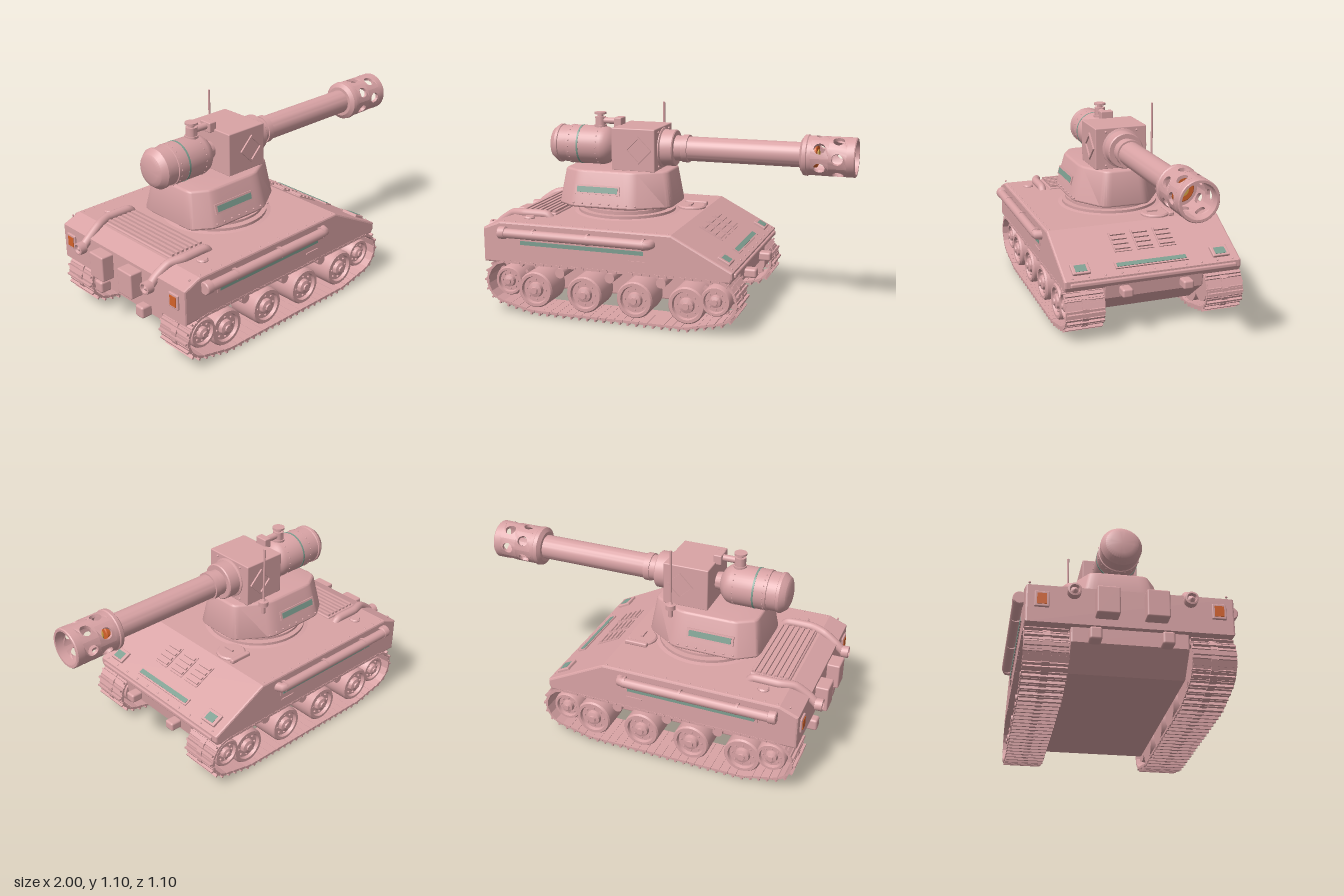
import * as THREE from 'three';
import { mergeGeometries, toCreasedNormals } from 'three/addons/utils/BufferGeometryUtils.js';
import { RoundedBoxGeometry } from 'three/addons/geometries/RoundedBoxGeometry.js';

const mat = (name, color) => Object.assign(new THREE.MeshStandardMaterial({ color }), { name });
const V2 = (p) => new THREE.Vector2(p[0], p[1]);
const V3 = (p) => new THREE.Vector3(...p);

export function createModel() {
  const model = new THREE.Group();
  model.name = 'tank';
  const pink = mat('dustyPink', 0xd9a3a5), green = mat('glassGreen', 0x7d9e90);
  const orange = mat('glowOrange', 0xd4622a), amber = mat('glowAmber', 0xd2a346);

  const add = (name, geo, pos = [0, 0, 0], m = pink, parent = model) => {
    const mesh = new THREE.Mesh(geo, m);
    mesh.name = name;
    mesh.position.set(...pos);
    parent.add(mesh);
    return mesh;
  };
  const box = (w, h, d) => new THREE.BoxGeometry(w, h, d);
  const rbox = (w, h, d, r = 0.008) => new RoundedBoxGeometry(w, h, d, 2, r);
  const cyl = (r, h, n = 24) => new THREE.CylinderGeometry(r, r, h, n);
  // Turned part from [position along axis, radius] pairs, about y, x or z
  const turned = (pts, axis = 'y', n = 40) => {
    const g = new THREE.LatheGeometry(pts.map(([a, r]) => new THREE.Vector2(r, a)), n);
    if (axis === 'x') g.rotateZ(-Math.PI / 2);
    if (axis === 'z') g.rotateX(Math.PI / 2);
    return toCreasedNormals(g, 0.55);
  };
  const tube = (pts, r) => new THREE.TubeGeometry(new THREE.CatmullRomCurve3(pts.map(V3), false, 'catmullrom', 0.3), 36, r, 14);
  // Side profile extruded across z with a small bevel
  const slab = (pts, half, b) => new THREE.ExtrudeGeometry(new THREE.Shape(pts.map(V2)), {
    depth: 2 * (half - b), bevelThickness: b, bevelSize: b, bevelOffset: -b, bevelSegments: 2,
  }).translate(0, 0, b - half);
  const rivets = (name, pts, r = 0.006, parent = model) =>
    add(name, mergeGeometries(pts.map((p) => new THREE.SphereGeometry(r, 8, 6).translate(...p))), [0, 0, 0], pink, parent);
  const row = (n, f) => Array.from({ length: n }, (_, i) => f(i, i / (n - 1)));

  // Hull
  add('upperHull', slab([[-0.93, 0.285], [0.455, 0.285], [0.468, 0.31], [0.468, 0.345], [0.14, 0.515], [-0.83, 0.515], [-0.93, 0.475]], 0.496, 0.01));
  add('lowerHull', slab([[-0.9, 0.3], [-0.9, 0.21], [-0.79, 0.097], [0.29, 0.097], [0.45, 0.22], [0.46, 0.305]], 0.28, 0.008));
  add('frontBar', rbox(0.02, 0.025, 0.93), [0.47, 0.322, 0]);

  // Running gear, one side built then turned half round for the other
  const cx = -0.2125, R = 0.115;
  const arc = (x, y, a, b, n) => row(n, (i, t) => {
    const q = THREE.MathUtils.degToRad(a + (b - a) * t);
    return [x + R * Math.cos(q), y + R * Math.sin(q)];
  });
  const half = [...arc(0.585, 0.178, 90, -75, 14), ...arc(0.42, 0.14, -77, -90, 4)];
  const loop = [...half, ...half.map(([x, y]) => [-x, y]).reverse()];
  const path = new THREE.Path().setFromPoints([...loop, loop[0]].map(V2));
  const N = 66, links = path.getSpacedPoints(N).slice(0, N);
  const pads = links.map((p, i) => {
    const a = links[(i + N - 1) % N], b = links[(i + 1) % N];
    const shoe = mergeGeometries([
      box(0.036, 0.014, 0.212), box(0.01, 0.016, 0.205).translate(0, 0.014, 0),
      box(0.05, 0.018, 0.035).translate(0, 0.003, 0),
      box(0.014, 0.01, 0.214).translate(0.02, -0.002, 0),
    ]);
    // the loop runs clockwise, so local +y faces outward
    return shoe.rotateZ(Math.atan2(b.y - a.y, b.x - a.x)).translate(p.x, p.y, 0.392);
  });
  const wheelGeo = (r) => mergeGeometries([
    turned([[0.3, 0], [0.3, r], [0.465, r], [0.475, r * 0.93], [0.475, r * 0.77], [0.457, r * 0.72], [0.457, r * 0.42], [0.477, r * 0.38], [0.482, r * 0.2], [0.49, r * 0.18], [0.49, 0]], 'z', 32),
    ...row(8, (i) => new THREE.CylinderGeometry(0.006, 0.006, 0.014, 8).toNonIndexed().rotateX(Math.PI / 2)
      .translate(r * 0.57 * Math.cos(i * Math.PI / 4), r * 0.57 * Math.sin(i * Math.PI / 4), 0.459)),
  ]);
  const road = wheelGeo(0.1), end = wheelGeo(0.08), trackGeo = mergeGeometries(pads);
  for (const s of [1, -1]) {
    const gear = new THREE.Group();
    gear.name = s > 0 ? 'leftRunningGear' : 'rightRunningGear';
    gear.position.x = cx;
    gear.rotation.y = s > 0 ? 0 : Math.PI;
    model.add(gear);
    add('track', trackGeo, [0, 0, 0], pink, gear);
    for (let i = 0; i < 4; i++) add('roadWheel', road, [-0.43 + i * 0.2865, 0.14, 0], pink, gear);
    for (const e of [-1, 1]) {
      add('endWheel', end, [e * 0.585, 0.177, 0], pink, gear);
      const teeth = row(12, (i) => box(0.016, 0.02, 0.03).translate(0, 0.086, 0).rotateZ(i * Math.PI / 6));
      add('sprocketTeeth', mergeGeometries(teeth), [e * 0.585, 0.177, 0.392], pink, gear);
    }
    for (let i = -1; i <= 1; i++) add('returnRoller', cyl(0.027, 0.18).rotateX(Math.PI / 2), [i * 0.287, 0.243, 0.37], pink, gear);
  }

  // Fittings repeated on both sides
  for (const s of [1, -1]) {
    add('sidePipe', tube([[-0.8, 0.46, s * 0.521], [-0.3, 0.46, s * 0.521], [0.0, 0.46, s * 0.521], [0.028, 0.46, s * 0.51], [0.035, 0.46, s * 0.47]], 0.026));
    add('sidePipeCap', turned([[-0.825, 0], [-0.825, 0.03], [-0.82, 0.034], [-0.785, 0.034], [-0.78, 0.026]], 'x', 20), [0, 0.46, s * 0.515]);
    for (const x of [-0.62, -0.31, 0]) add('pipeClamp', turned([[-0.006, 0.024], [-0.006, 0.031], [0.006, 0.031], [0.006, 0.024]], 'x', 20), [x, 0.46, s * 0.515]);
    add('sideSlitFrame', box(0.73, 0.038, 0.008), [-0.357, 0.407, s * 0.496]);
    add('sideSlit', box(0.7, 0.022, 0.008), [-0.357, 0.407, s * 0.498], green);
    add('sideStep', box(0.09, 0.008, 0.008), [-0.045, 0.358, s * 0.497]);
    rivets('hullRivets', row(16, (i, t) => [-0.88 + t * 1.0, 0.513, s * 0.475]));
    add('exhaustPipe', tube([[-0.61, 0.5, s * 0.31], [-0.64, 0.525, s * 0.31], [-0.77, 0.525, s * 0.31], [-0.85, 0.515, s * 0.285], [-0.92, 0.47, s * 0.275], [-0.965, 0.43, s * 0.275]], 0.024));
    add('exhaustTip', turned([[-1, 0], [-0.985, 0.018], [-1, 0.024], [-0.998, 0.033], [-0.96, 0.033], [-0.955, 0.02]], 'x', 20), [0, 0.43, s * 0.275]);
    add('rearStowageBox', rbox(0.075, 0.14, 0.11), [-0.962, 0.39, s * 0.117]);
    add('rearLampFrame', rbox(0.02, 0.08, 0.07, 0.005), [-0.93, 0.4, s * 0.42]);
    add('rearLamp', box(0.008, 0.055, 0.045), [-0.939, 0.4, s * 0.42], orange);
    add('frontHook', rbox(0.07, 0.05, 0.06, 0.012), [0.485, 0.26, s * 0.17]);
    add('rearHook', rbox(0.07, 0.065, 0.06, 0.012), [-0.925, 0.235, s * 0.17]);
    add('fillerCap', turned([[0.505, 0.03], [0.52, 0.03], [0.527, 0.024], [0.527, 0]]), [-0.71, 0, s * 0.375]);
  }

  // Engine deck grille
  add('grilleBase', rbox(0.215, 0.02, 0.54), [-0.707, 0.515, 0]);
  for (let i = 0; i < 7; i++) add('grilleSlat', box(0.016, 0.014, 0.52), [-0.797 + i * 0.03, 0.53, 0]);

  // Driver hatch
  add('driverHatch', turned([[0.505, 0.08], [0.523, 0.08], [0.53, 0.072], [0.53, 0]]), [0.055, 0, -0.155]);
  add('hatchHinge', rbox(0.13, 0.025, 0.03), [0.06, 0.525, -0.23]);
  add('hatchHandle', box(0.015, 0.012, 0.06), [0.055, 0.533, -0.14]);

  // Glacis plate details, laid out along the slope
  const glacis = new THREE.Group();
  glacis.name = 'glacisDetails';
  glacis.position.set(0.14, 0.515, 0);
  glacis.rotation.z = -Math.atan2(0.17, 0.328);
  model.add(glacis);
  for (const z of [-0.127, 0, 0.127]) {
    add('ventFrame', box(0.146, 0.008, 0.097), [0.135, 0.001, z], pink, glacis);
    for (let i = 0; i < 4; i++) add('ventSlat', box(0.018, 0.014, 0.085), [0.084 + i * 0.034, 0.007, z], pink, glacis);
  }
  add('driverSlitFrame', box(0.044, 0.01, 0.41), [0.302, 0.002, 0], pink, glacis);
  add('driverSlit', box(0.026, 0.009, 0.39), [0.302, 0.005, 0], green, glacis);
  for (const s of [1, -1]) {
    add('headlightFrame', rbox(0.075, 0.025, 0.098, 0.005), [0.295, 0.002, s * 0.393], pink, glacis);
    add('headlight', box(0.046, 0.008, 0.062), [0.298, 0.012, s * 0.393], green, glacis);
  }
  rivets('glacisRivets', row(11, (i, t) => [0.352, 0, -0.45 + 0.9 * t]), 0.006, glacis);

  // Turret ring and tapered turret
  add('turretRing', turned([[0.505, 0.297], [0.515, 0.297], [0.52, 0.275], [0.535, 0.275], [0.535, 0.24], [0.545, 0.24], [0.545, 0.255], [0.558, 0.255], [0.558, 0.24], [0.575, 0.24]], 'y', 56), [-0.28, 0, 0]);
  const corners = [[0.322, 0.13], [0.13, 0.258], [-0.21, 0.258], [-0.322, 0.18]];
  const plan = [...corners, ...corners.map(([x, z]) => [x, -z]).reverse()].map(V2);
  const outline = new THREE.Shape();
  plan.forEach((p, i) => {
    const a = p.clone().lerp(plan[(i + 7) % 8], 0.16), b = p.clone().lerp(plan[(i + 1) % 8], 0.16);
    i ? outline.lineTo(a.x, a.y) : outline.moveTo(a.x, a.y);
    outline.quadraticCurveTo(p.x, p.y, b.x, b.y);
  });
  outline.closePath();
  const turret = new THREE.ExtrudeGeometry(outline, { depth: 0.176, bevelThickness: 0.012, bevelSize: 0.012, bevelOffset: -0.012, bevelSegments: 3, curveSegments: 5 })
    .rotateX(-Math.PI / 2).translate(0, 0.012, 0);
  const tp = turret.attributes.position;
  for (let i = 0; i < tp.count; i++) {
    const t = Math.max(0, tp.getY(i) - 0.015) / 0.185;
    tp.setX(i, tp.getX(i) * (1 - 0.09 * t));
    tp.setZ(i, tp.getZ(i) * (1 - 0.2 * t));
  }
  turret.computeVertexNormals();
  add('turret', toCreasedNormals(turret, 0.5), [-0.298, 0.566, 0]);
  for (const s of [1, -1]) {
    const slit = new THREE.Group();
    slit.name = 'turretSlit';
    slit.position.set(-0.365, 0.665, s * 0.235);
    slit.rotation.x = -s * 0.272;
    model.add(slit);
    add('slitFrame', box(0.26, 0.052, 0.02), [0, 0, -s * 0.004], pink, slit);
    add('slitGlass', box(0.235, 0.032, 0.009), [0, 0, s * 0.004], green, slit);
    rivets('turretRivets', row(8, (i, t) => [-0.5 + 0.36 * t, 0.592, s * 0.255]));
  }

  // Gun housing with diamond badges
  add('gunHousing', rbox(0.25, 0.235, 0.3, 0.006), [-0.19, 0.88, 0]);
  for (const s of [1, -1]) {
    const frame = new THREE.Shape([[0.077, 0], [0, 0.077], [-0.077, 0], [0, -0.077]].map(V2));
    frame.holes.push(new THREE.Path([[0.062, 0], [0, 0.062], [-0.062, 0], [0, -0.062]].map(V2)));
    add('diamondFrame', new THREE.ExtrudeGeometry(frame, { depth: 0.012, bevelEnabled: false }), [-0.16, 0.88, s * 0.153 - 0.006]);
    rivets('housingRivets', [-1, 1].map((k) => [-0.064, 0.88 + k * 0.095, s * 0.09]), 0.007);
  }

  // Barrel, flange and pierced muzzle sleeve
  add('barrel', turned([[-0.07, 0.11], [-0.06, 0.11], [-0.055, 0.1], [0.01, 0.1], [0.015, 0.095], [0.015, 0.07], [0.055, 0.07], [0.055, 0.076], [0.088, 0.076], [0.088, 0.067], [0.71, 0.067], [0.71, 0.085], [0.725, 0.107], [0.745, 0.11], [0.75, 0.105], [0.77, 0.105], [0.77, 0]], 'x'), [0, 0.88, 0]);
  const SR = 0.105, wall = 0.016, rowW = 0.094, arcW = 2 * Math.PI * SR / 6;
  const tile = (x0, ang) => {
    const side = (u) => row(11, (i, t) => [u, (t - 0.5) * arcW]);
    const shape = new THREE.Shape([...side(rowW / 2), ...side(-rowW / 2).reverse()].map(V2));
    shape.holes.push(new THREE.Path().absarc(0, 0, 0.03, 0, Math.PI * 2, true));
    const g = new THREE.ExtrudeGeometry(shape, { depth: wall, bevelEnabled: false, curveSegments: 20 });
    const p = g.attributes.position;
    for (let i = 0; i < p.count; i++) {
      const r = SR - wall + p.getZ(i), a = ang - p.getY(i) / SR;
      p.setXYZ(i, x0 + p.getX(i), r * Math.cos(a), r * Math.sin(a));
    }
    g.computeVertexNormals();
    return toCreasedNormals(g, 0.6);
  };
  const tiles = row(6, (i) => [tile(0.816, i * Math.PI / 3), tile(0.91, i * Math.PI / 3 + Math.PI / 6)]).flat();
  add('muzzleSleeve', mergeGeometries(tiles), [0, 0.88, 0]);
  add('muzzleRim', turned([[0.957, SR - wall], [0.957, SR], [0.995, SR], [1, SR - 0.004], [1, SR - wall], [0.957, SR - wall]], 'x'), [0, 0.88, 0]);
  add('muzzleGlow', turned([[0.765, 0.063], [0.79, 0.063], [0.795, 0.058], [0.795, 0]], 'x'), [0, 0.88, 0], orange);
  add('muzzleCore', cyl(0.033, 0.008).rotateZ(Math.PI / 2), [0.797, 0.88, 0], amber);

  // Pressure tank behind the gun
  add('pressureTank', turned([[-0.72, 0], [-0.72, 0.06], [-0.71, 0.085], [-0.69, 0.1], [-0.68, 0.108], [-0.665, 0.108], [-0.662, 0.103], [-0.612, 0.103], [-0.61, 0.108], [-0.41, 0.108], [-0.385, 0.1], [-0.36, 0.078], [-0.345, 0.05], [-0.31, 0.045]], 'x'), [0, 0.875, 0]);
  add('tankStripe', turned([[-0.546, 0.107], [-0.546, 0.1095], [-0.536, 0.1095], [-0.536, 0.107]], 'x'), [0, 0.875, 0], green);
  const ring = (x) => row(20, (i) => [x, 0.875 + 0.108 * Math.cos(i * Math.PI / 10), 0.108 * Math.sin(i * Math.PI / 10)]);
  rivets('tankRivets', [...ring(-0.595), ...ring(-0.43)], 0.004);

  // Valve linking tank and housing
  add('valveBody', turned([[0.96, 0.036], [0.99, 0.036], [0.99, 0.03], [1.035, 0.03], [1.035, 0.016], [1.05, 0.016], [1.05, 0.034], [1.061, 0.034], [1.061, 0]], 'y', 24), [-0.437, 0, 0]);
  add('valvePipe', cyl(0.018, 0.1).rotateZ(Math.PI / 2), [-0.375, 1.014, 0]);
  add('valveBlock', rbox(0.045, 0.055, 0.074, 0.006), [-0.322, 1.01, 0]);

  // Antenna
  add('antennaBase', turned([[0.72, 0.012], [0.765, 0.014], [0.767, 0.027], [0.793, 0.027], [0.797, 0.012], [0.81, 0.007]], 'y', 16), [-0.13, 0, -0.207]);
  add('antenna', cyl(0.006, 0.315, 10), [-0.13, 0.948, -0.207]);
  return model;
}
